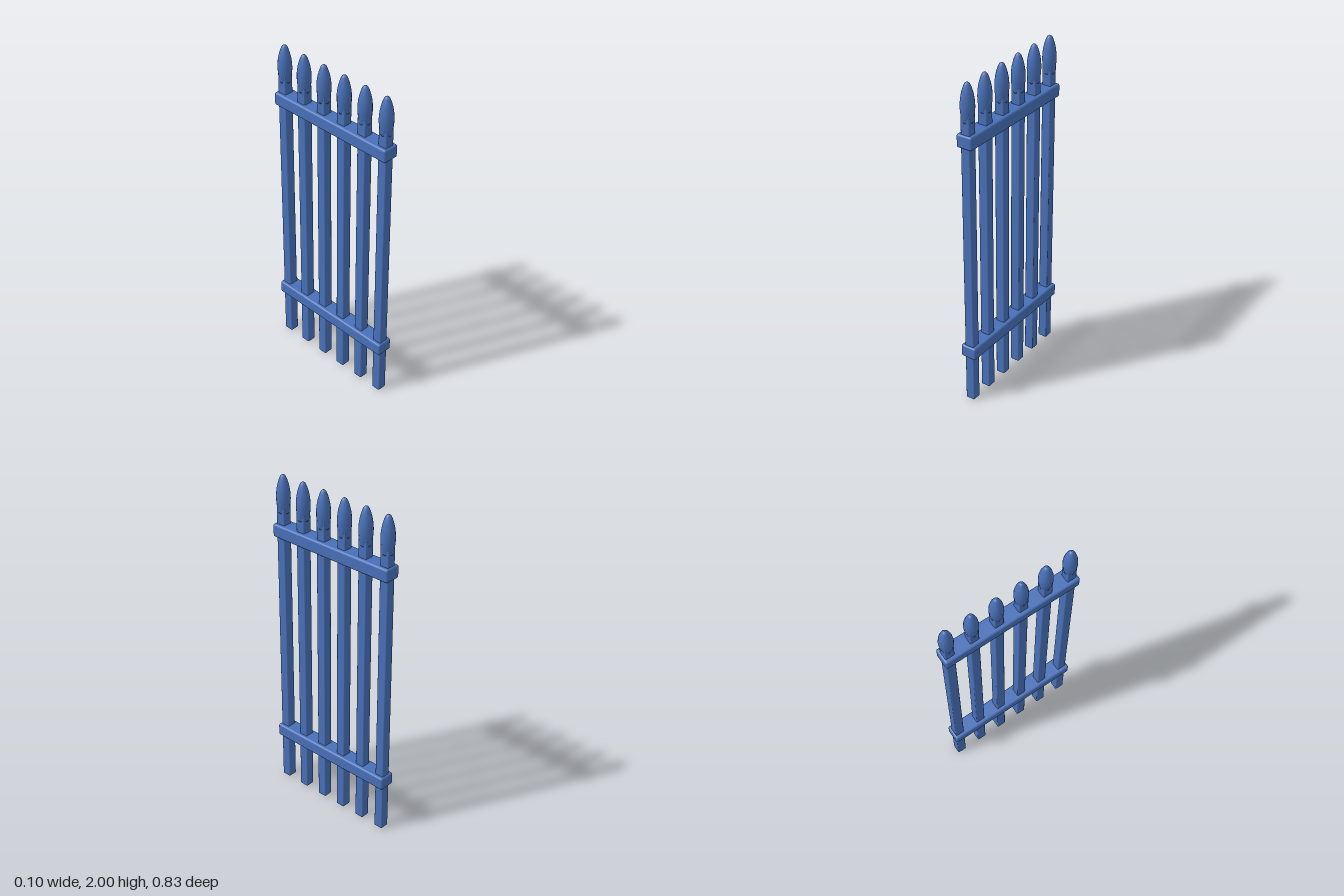
import * as THREE from 'three';
import { RoundedBoxGeometry } from 'three/addons/geometries/RoundedBoxGeometry.js';

export function createModel() {
  const fence = new THREE.Group();
  fence.name = 'fencePanel';
  const bluePaint = new THREE.MeshStandardMaterial({ color: 0x4870b8 });
  bluePaint.name = 'bluePaint';

  const add = (name, geometry, y, z) => {
    const mesh = new THREE.Mesh(geometry, bluePaint);
    mesh.name = name;
    mesh.position.set(0, y, z);
    fence.add(mesh);
  };

  // Square bar with softened edges, ending inside its finial
  const barHeight = 1.83;
  const barGeometry = new RoundedBoxGeometry(0.056, barHeight, 0.056, 2, 0.006);

  // Bullet-shaped finial, closed underneath
  const profile = new THREE.SplineCurve([
    [0.029, 1.775], [0.035, 1.805], [0.039, 1.84], [0.04, 1.87], [0.037, 1.91],
    [0.029, 1.95], [0.017, 1.985], [0.008, 1.996], [0, 2],
  ].map(([r, y]) => new THREE.Vector2(r, y))).getPoints(20);
  profile[profile.length - 1].x = 0;
  const finialGeometry = new THREE.LatheGeometry([new THREE.Vector2(0, 1.775), ...profile], 16);

  // Six evenly spaced bars
  for (let i = 0; i < 6; i++) {
    const z = -0.375 + i * 0.15;
    add('bar', barGeometry, barHeight / 2, z);
    add('finial', finialGeometry, 0, z);
  }

  // Two cross rails around the bars
  const railGeometry = new RoundedBoxGeometry(0.098, 0.078, 0.83, 3, 0.012);
  add('lowerRail', railGeometry, 0.336, 0);
  add('upperRail', railGeometry, 1.671, 0);

  return fence;
}
